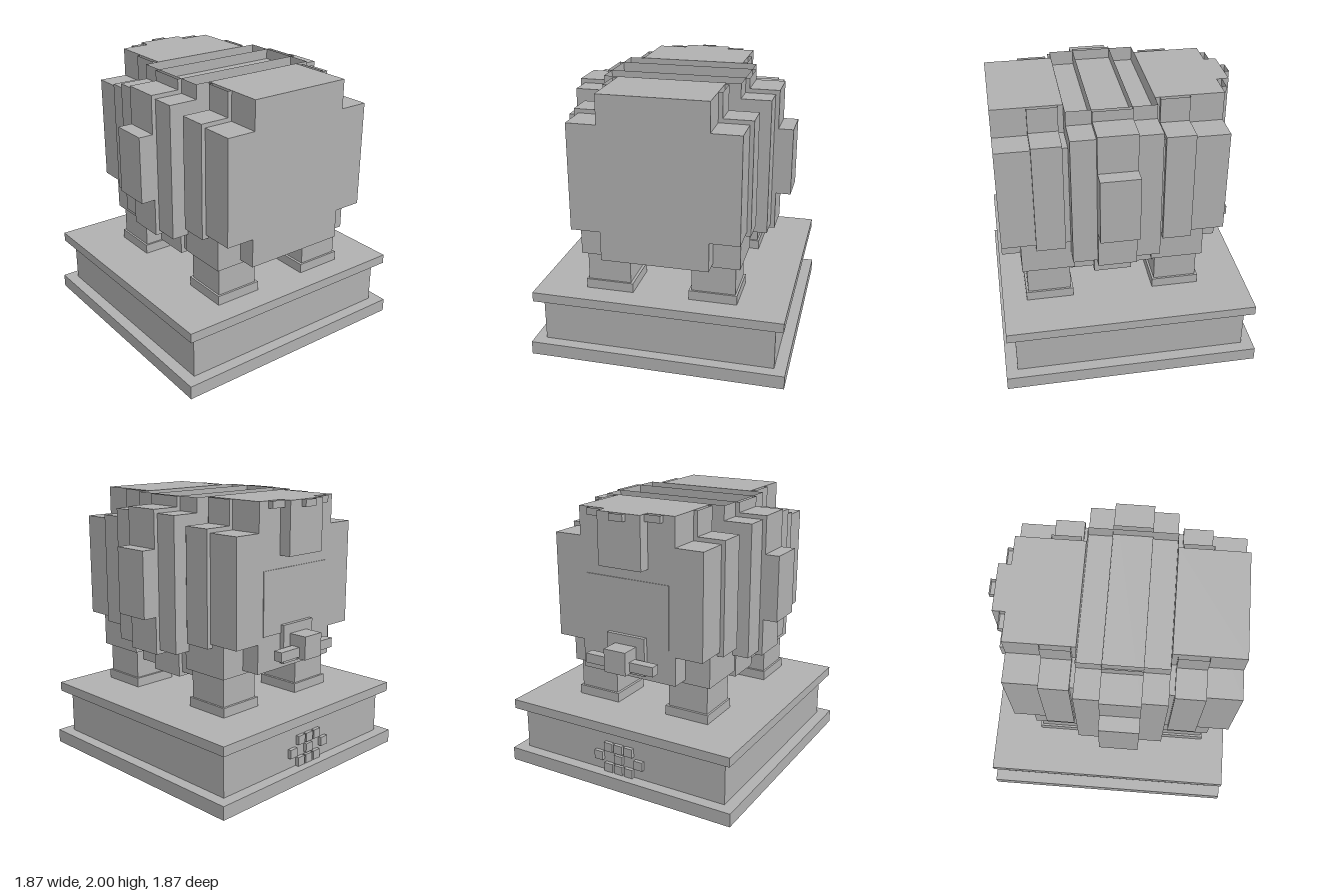
import * as THREE from 'three';

export function createModel() {
  const model = new THREE.Group();
  const stone = new THREE.MeshStandardMaterial({ color: 0xb0b0b0, side: THREE.DoubleSide });
  stone.name = 'grey stone';

  // Box given by its ranges; an open box has no top face
  function box(name, [x0, x1], [y0, y1], [z0, z1], open = false) {
    const geometry = new THREE.BoxGeometry(x1 - x0, y1 - y0, z1 - z0);
    if (open) {
      const index = Array.from(geometry.index.array);
      index.splice(12, 6);
      geometry.setIndex(index);
      geometry.clearGroups();
    }
    const mesh = new THREE.Mesh(geometry, stone);
    mesh.name = name;
    mesh.position.set((x0 + x1) / 2, (y0 + y1) / 2, (z0 + z1) / 2);
    model.add(mesh);
  }
  // Box centred on x = 0
  const mid = (name, w, y, z, open) => box(name, [-w, w], y, z, open);
  // Mirrored pair of boxes
  function pair(name, [x0, x1], y, z, open) {
    box(name + 'Left', [x0, x1], y, z, open);
    box(name + 'Right', [-x1, -x0], y, z, open);
  }

  // Stepped plinth
  mid('plinthBase', 0.935, [0, 0.1], [-0.935, 0.935]);
  mid('plinthBlock', 0.85, [0.1, 0.43], [-0.85, 0.85]);
  mid('plinthCap', 0.912, [0.43, 0.5], [-0.912, 0.912]);

  // Small raised blocks on the rear of the plinth
  const rows = [[-0.085, 0, 0.085], [-0.17, 0, 0.17], [-0.085, 0, 0.085]];
  rows.forEach((xs, i) => {
    const y = 0.1 + i * 0.082;
    xs.forEach(x => box('plinthStud', [x - 0.035, x + 0.035], [y, y + 0.067], [-0.877, -0.84]));
  });

  // Legs: foot, shank and hip
  for (const [name, z] of [['frontLeg', 0.563], ['rearLeg', -0.38]]) {
    pair(name + 'Foot', [0.205, 0.555], [0.5, 0.57], [z - 0.175, z + 0.172]);
    pair(name + 'Shank', [0.225, 0.54], [0.57, 0.8], [z - 0.157, z + 0.157]);
    pair(name + 'Hip', [0.19, 0.575], [0.785, 1.04], [z - 0.19, z + 0.19]);
  }

  // Cross-shaped body sections: a wide box and a tall box, grown evenly from the core
  const centreY = 1.408;
  function section(name, grow, z, open) {
    const wide = 0.595 + grow, low = 0.383 + grow;
    mid(name + 'Wide', wide, [centreY - low, centreY + low], z);
    mid(name + 'Tall', low, [centreY - wide, 2], z, open);
  }
  section('frontBody', 0, [0.398, 0.888], false);
  section('rearBody', 0, [-0.712, -0.226], false);
  section('frontBand', 0.03, [0.437, 0.645], true);
  section('rearBand', 0.03, [-0.467, -0.26], true);
  section('middleBody', 0.104, [-0.225, 0.397], true);
  section('girdle', 0.134, [-0.053, 0.223], true);

  // Side pads
  pair('sidePad', [0.729, 0.835], [1.165, 1.65], [-0.053, 0.223]);

  // Rear face: thin panel, upper block and clipped cross on the top edge
  mid('rearPanel', 0.335, [1.07, 1.53], [-0.718, -0.71]);
  mid('rearBlock', 0.172, [1.62, 2], [-0.8, -0.71]);
  pair('rearTab', [0.172, 0.293], [1.95, 2], [-0.75, -0.712], true);
  mid('rearTabMiddle', 0.055, [1.95, 2], [-0.836, -0.8], true);

  // Rear fitting: back plate, knob and cross bar
  mid('fittingPlate', 0.155, [0.85, 1.13], [-0.747, -0.71]);
  mid('fittingKnob', 0.088, [0.89, 1.06], [-0.886, -0.745]);
  mid('fittingBar', 0.277, [0.905, 0.975], [-0.835, -0.765]);

  return model;
}
